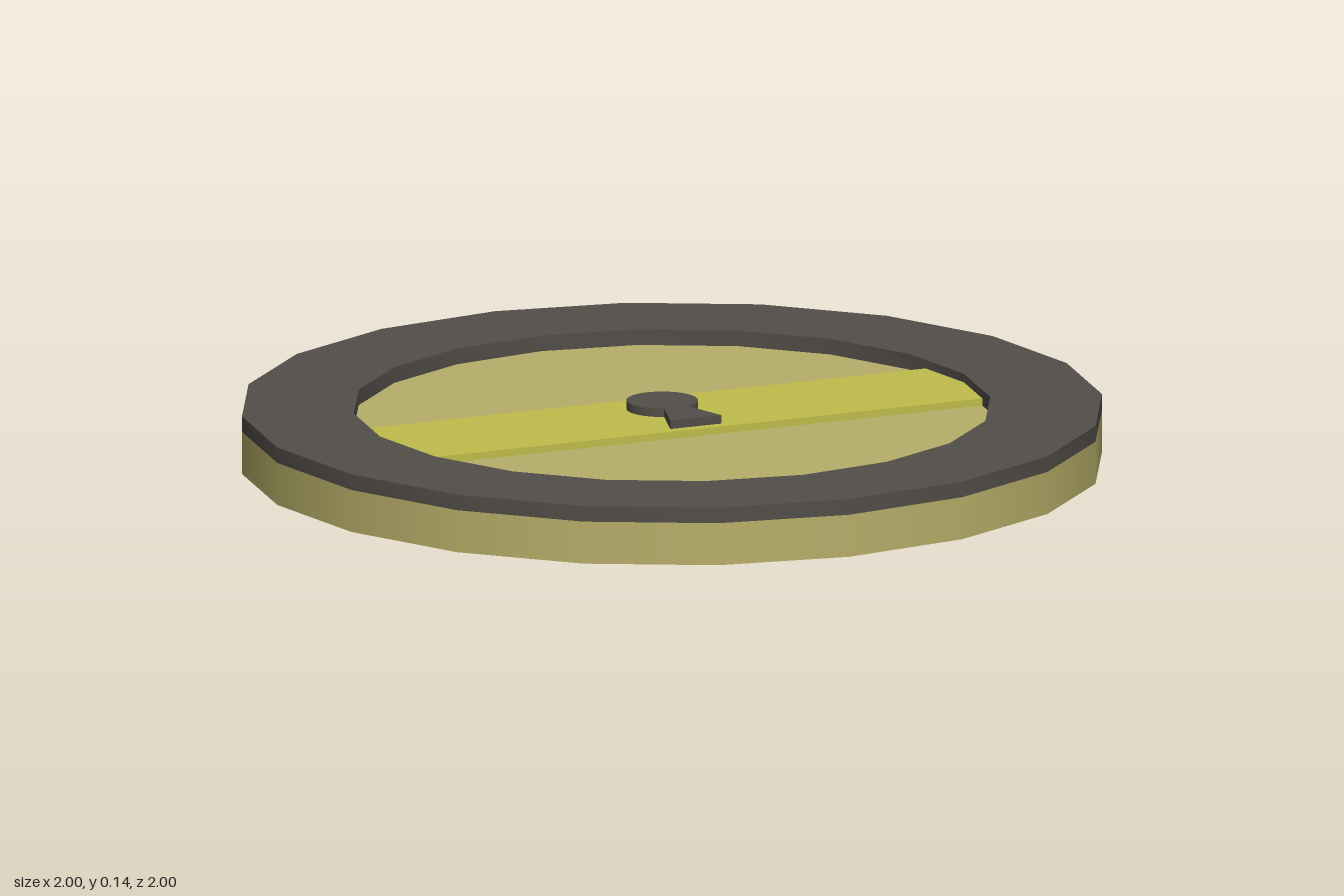
import * as THREE from 'three';
import { toCreasedNormals } from 'three/addons/utils/BufferGeometryUtils.js';

const SIDES = 20;
const BASE_TOP = 0.1, BAND_TOP = 0.117, RIM_TOP = 0.137;
const INNER = 0.74;

export function createModel() {
  const model = new THREE.Group();
  const brass = new THREE.MeshStandardMaterial({ color: 0xb8af69 });
  const yellow = new THREE.MeshStandardMaterial({ color: 0xbfbd4b });
  const dark = new THREE.MeshStandardMaterial({ color: 0x524e49 });

  const add = (name, geometry, material) => {
    const mesh = new THREE.Mesh(geometry, material);
    mesh.name = name;
    model.add(mesh);
    return mesh;
  };

  // Solid disc with smooth sides
  add('baseDisc', new THREE.CylinderGeometry(1, 1, BASE_TOP, SIDES), brass)
    .position.y = BASE_TOP / 2;

  // Raised rim, a square section turned around the axis
  const section = [[INNER, BASE_TOP], [1, BASE_TOP], [1, RIM_TOP], [INNER, RIM_TOP], [INNER, BASE_TOP]]
    .map(([r, y]) => new THREE.Vector2(r, y));
  add('rim', toCreasedNormals(new THREE.LatheGeometry(section, SIDES), 0.5), dark);

  // Band across the recess, its ends tucked into the rim
  add('band', new THREE.BoxGeometry(2 * INNER, BAND_TOP - BASE_TOP, 0.32), yellow)
    .position.y = (BASE_TOP + BAND_TOP) / 2;

  // Keyhole: round head with a flared foot toward the front
  const radius = 0.083, neck = Math.asin(0.03 / radius);
  const outline = new THREE.Shape();
  outline.moveTo(-0.065, -0.135);
  outline.lineTo(0.065, -0.135);
  outline.absarc(0, 0.055, radius, -Math.PI / 2 + neck, Math.PI * 1.5 - neck, false);
  outline.closePath();
  const keyhole = new THREE.ExtrudeGeometry(outline, {
    depth: RIM_TOP - BAND_TOP, bevelEnabled: false, curveSegments: 20,
  }).rotateX(-Math.PI / 2);
  add('keyhole', toCreasedNormals(keyhole, 0.5), dark).position.y = BAND_TOP;

  return model;
}
